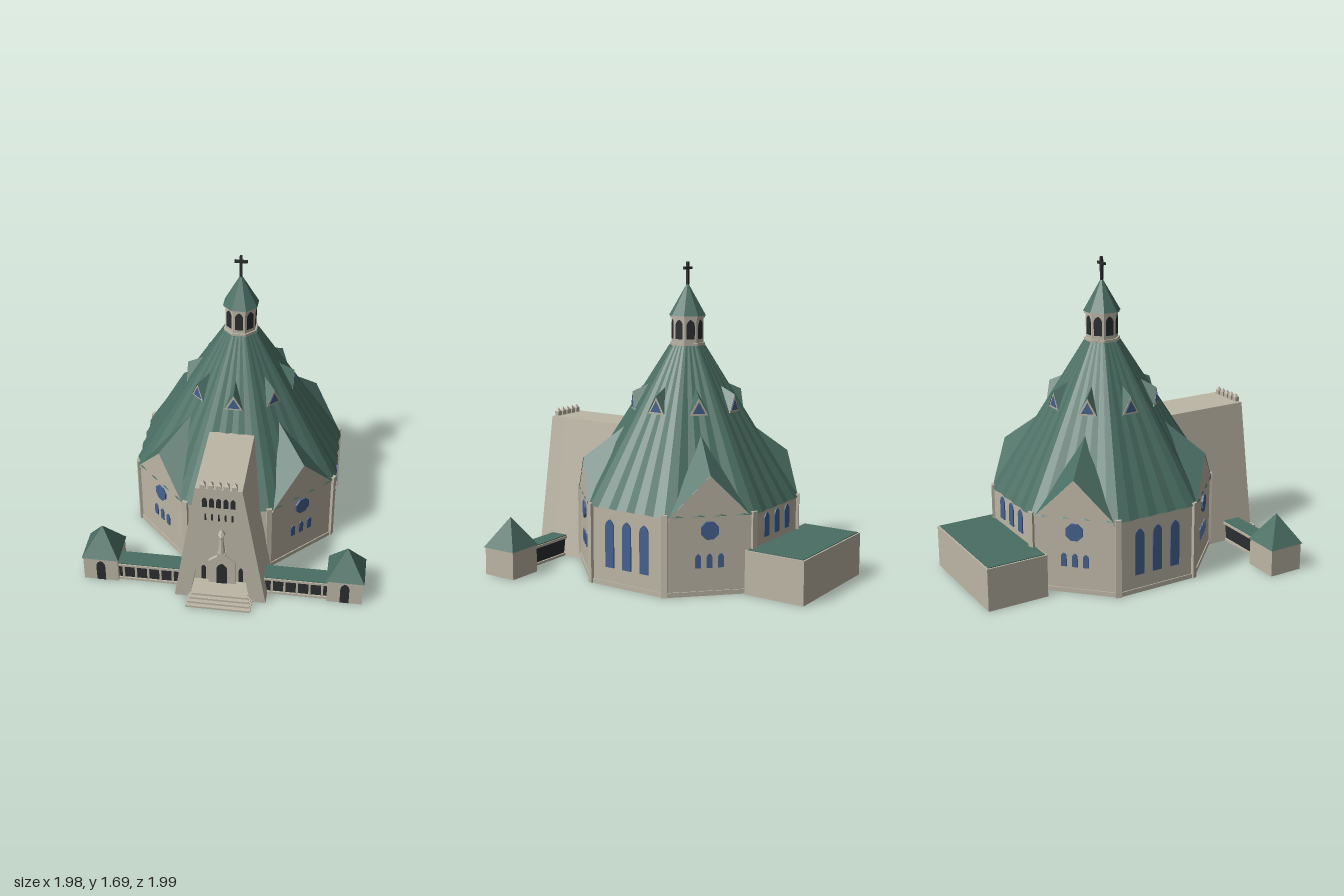
import * as THREE from 'three';

const mat = (color) => new THREE.MeshStandardMaterial({ color, flatShading: true, side: THREE.DoubleSide });
const stone = mat(0xbdb6a6), green = mat(0x4a6e63), glass = mat(0x46628f), dark = mat(0x2b2e31);

const APOTHEM = 0.568, EAVE = 0.42, ROOF_TOP = 1.24;
// distance of the roof's flat faces from the axis at height y
const roofApothem = (y) => (0.62 - ((y - EAVE) * 0.52) / (ROOF_TOP - EAVE)) * Math.cos(Math.PI / 8);

function add(parent, name, geometry, material, x = 0, y = 0, z = 0) {
  const mesh = new THREE.Mesh(geometry, material);
  mesh.name = name;
  mesh.position.set(x, y, z);
  parent.add(mesh);
  return mesh;
}
function group(parent, name, angle = 0) {
  const g = new THREE.Group();
  g.name = name;
  g.rotation.y = angle;
  parent.add(g);
  return g;
}
// box standing on y
const box = (parent, name, m, w, h, d, x, y, z) =>
  add(parent, name, new THREE.BoxGeometry(w, h, d), m, x, y + h / 2, z);
const extrude = (shape, depth) =>
  new THREE.ExtrudeGeometry(shape, { depth, bevelEnabled: false, curveSegments: 8 });
const polygon = (pts) => new THREE.Shape(pts.map(([x, y]) => new THREE.Vector2(x, y)));
const octagon = (top, bottom, h) => new THREE.CylinderGeometry(top, bottom, h, 8, 1, false, Math.PI / 8);

// pointed arch panel standing on y = 0
function arch(w, h, depth = 0.008) {
  const s = new THREE.Shape(), k = h - w * 0.8;
  s.moveTo(-w / 2, 0);
  s.lineTo(w / 2, 0);
  s.lineTo(w / 2, k);
  s.quadraticCurveTo(w / 2, h - w * 0.25, 0, h);
  s.quadraticCurveTo(-w / 2, h - w * 0.25, -w / 2, k);
  return extrude(s, depth);
}
function archRow(parent, name, m, count, spacing, w, h, y, z) {
  for (let i = 0; i < count; i++)
    add(parent, name, arch(w, h), m, (i - (count - 1) / 2) * spacing, y, z);
}

// two roof slopes running from a gable back to the main roof
function gableRoof(parent, name, half, y0, peak, z, yBack) {
  const zb = roofApothem(yBack);
  const g = new THREE.BufferGeometry();
  g.setAttribute('position', new THREE.Float32BufferAttribute([
    0, peak, z, half, y0, z, 0, yBack, zb,
    0, peak, z, 0, yBack, zb, -half, y0, z], 3));
  g.computeVertexNormals();
  add(parent, name, g, green);
}

function buildHall(root) {
  add(root, 'hallWalls', octagon(0.615, 0.615, EAVE), stone, 0, EAVE / 2, 0);
  add(root, 'plinth', octagon(0.621, 0.621, 0.025), stone, 0, 0.0125, 0);

  // pleated octagonal roof
  const N = 64, roof = new THREE.CylinderGeometry(0.1, 0.62, ROOF_TOP - EAVE, N, 1);
  const p = roof.attributes.position;
  for (let i = 0; i < p.count; i++) {
    const x = p.getX(i), z = p.getZ(i);
    if (Math.hypot(x, z) < 1e-6) continue;
    const step = Math.round((Math.atan2(x, z) / (2 * Math.PI)) * N);
    const off = ((step + 4 + N) % 8 - 4) * (2 * Math.PI / N);
    const f = (Math.cos(Math.PI / 8) / Math.cos(off)) * (step % 2 ? 1.016 : 1);
    p.setX(i, x * f);
    p.setZ(i, z * f);
  }
  roof.computeVertexNormals();
  add(root, 'mainRoof', roof, green, 0, (EAVE + ROOF_TOP) / 2, 0);

  for (let k = 0; k < 8; k++) {
    const a = (k * Math.PI) / 4;
    const corner = group(root, 'cornerPier', a + Math.PI / 8);
    box(corner, 'pier', stone, 0.03, 0.435, 0.025, 0, 0, 0.612);

    const side = group(root, 'hallSide', a);
    const z = APOTHEM - 0.002;
    if (k % 2) {
      // gabled side: rose window over three small windows
      add(side, 'gableWall', extrude(polygon([[-0.215, EAVE - 0.02], [0.215, EAVE - 0.02], [0.21, EAVE], [0, 0.63], [-0.21, EAVE]]), 0.01), stone, 0, 0, z);
      gableRoof(side, 'gableRoof', 0.212, EAVE, 0.632, z + 0.012, 0.8);
      const rose = add(side, 'roseWindow', new THREE.CylinderGeometry(0.05, 0.05, 0.016, 8, 1, false, Math.PI / 8), glass, 0, 0.345, z + 0.006);
      rose.rotation.x = Math.PI / 2;
      archRow(side, 'smallWindow', glass, 3, 0.06, 0.03, 0.075, 0.148, z);
    } else if (k === 4) {
      archRow(side, 'shortWindow', glass, 3, 0.11, 0.05, 0.13, 0.275, z);
    } else if (k !== 0) {
      archRow(side, 'tallWindow', glass, 3, 0.11, 0.055, 0.26, 0.103, z);
    }
    // triangular dormer
    const dz = 0.297;
    add(side, 'dormerFrame', extrude(polygon([[-0.05, 0.895], [0.05, 0.895], [0, 0.985]]), 0.006), stone, 0, 0, dz);
    add(side, 'dormerWindow', extrude(polygon([[-0.034, 0.905], [0.034, 0.905], [0, 0.967]]), 0.004), glass, 0, 0, dz + 0.004);
    gableRoof(side, 'dormerRoof', 0.054, 0.895, 0.99, dz + 0.007, 1.03);
  }
}

function buildLantern(root) {
  const g = group(root, 'lantern');
  add(g, 'lanternWalls', octagon(0.088, 0.088, 0.16), stone, 0, 1.32, 0);
  add(g, 'lanternSill', octagon(0.097, 0.097, 0.015), stone, 0, 1.247, 0);
  add(g, 'lanternCornice', octagon(0.096, 0.096, 0.012), stone, 0, 1.394, 0);
  for (let k = 0; k < 8; k++)
    add(group(g, 'lanternSide', (k * Math.PI) / 4), 'lanternOpening', arch(0.045, 0.105, 0.005), dark, 0, 1.275, 0.079);
  add(g, 'lanternRoof', octagon(0.002, 0.102, 0.175), green, 0, 1.4875, 0);
  box(g, 'crossPost', dark, 0.014, 0.125, 0.014, 0, 1.565, 0);
  box(g, 'crossArm', dark, 0.07, 0.014, 0.014, 0, 1.648, 0);
}

function buildEntrance(root) {
  const g = group(root, 'entranceTower');
  const profile = () => polygon([[-0.255, 0], [0.255, 0], [0.125, 0.78], [-0.125, 0.78]]);
  add(g, 'towerBody', extrude(profile(), 0.55), stone, 0, 0, 0.21);

  // front wall pierced by the tall pointed portal
  const front = profile(), hole = new THREE.Path();
  hole.moveTo(-0.16, 0.045);
  hole.quadraticCurveTo(-0.1, 0.45, 0, 0.53);
  hole.quadraticCurveTo(0.1, 0.45, 0.16, 0.045);
  hole.closePath();
  front.holes.push(hole);
  add(g, 'towerFront', extrude(front, 0.1), stone, 0, 0, 0.758);

  // inner doorway, side slots and statue
  add(g, 'doorSurround', extrude(polygon([[-0.075, 0.045], [0.075, 0.045], [0.075, 0.2], [0, 0.26], [-0.075, 0.2]]), 0.02), stone, 0, 0, 0.76);
  add(g, 'door', arch(0.06, 0.145, 0.005), dark, 0, 0.045, 0.778);
  for (const s of [-1, 1]) add(g, 'sideSlot', arch(0.025, 0.1, 0.005), dark, s * 0.105, 0.05, 0.758);
  box(g, 'statuePedestal', stone, 0.045, 0.03, 0.03, 0, 0.245, 0.778);
  add(g, 'statue', new THREE.CylinderGeometry(0.01, 0.02, 0.1, 8), stone, 0, 0.325, 0.778);
  add(g, 'statueHead', new THREE.SphereGeometry(0.013, 8, 6), stone, 0, 0.385, 0.778);
  add(g, 'statueCanopy', new THREE.ConeGeometry(0.022, 0.04, 6), stone, 0, 0.42, 0.772);

  // belfry openings, slits and pinnacles
  archRow(g, 'belfryOpening', dark, 5, 0.038, 0.026, 0.062, 0.66, 0.853);
  archRow(g, 'slit', dark, 5, 0.036, 0.009, 0.045, 0.57, 0.853);
  for (let i = -2; i <= 2; i++) {
    box(g, 'pinnacle', stone, 0.03, 0.025, 0.025, i * 0.042, 0.78, 0.846);
    add(g, 'pinnacleTip', new THREE.ConeGeometry(0.019, 0.022, 4, 1, false, Math.PI / 4), stone, i * 0.042, 0.816, 0.846);
  }
  for (let i = 0; i < 4; i++) {
    const d = 0.09 - i * 0.021;
    box(g, 'step', stone, 0.36 - i * 0.016, 0.012 * (i + 1), d, 0, 0, 0.856 + d / 2);
  }
}

function buildWing(root, s) {
  const g = group(root, s > 0 ? 'leftWing' : 'rightWing');
  // covered walk
  box(g, 'walkFloor', stone, 0.4, 0.014, 0.11, s * 0.41, 0, 0.725);
  box(g, 'walkInterior', dark, 0.39, 0.09, 0.09, s * 0.41, 0.012, 0.725);
  box(g, 'walkBeam', stone, 0.4, 0.014, 0.112, s * 0.41, 0.098, 0.725);
  box(g, 'walkRoof', green, 0.4, 0.006, 0.1, s * 0.41, 0.111, 0.725);
  for (let i = 0; i < 5; i++) box(g, 'walkPost', stone, 0.012, 0.09, 0.012, s * (0.28 + i * 0.07), 0.012, 0.771);
  // end pavilion
  box(g, 'pavilionWalls', stone, 0.196, 0.155, 0.196, s * 0.685, 0, 0.698);
  add(g, 'pavilionRoof', new THREE.ConeGeometry(0.148, 0.163, 4, 1, false, Math.PI / 4), green, s * 0.685, 0.234, 0.698);
  add(g, 'pavilionDoor', arch(0.05, 0.135, 0.006), dark, s * 0.685, 0.002, 0.793);
}

function buildAnnex(root) {
  const g = group(root, 'rearAnnex');
  box(g, 'annexWalls', stone, 0.655, 0.235, 0.34, -0.04, 0, -0.715);
  box(g, 'annexRoof', green, 0.637, 0.006, 0.322, -0.04, 0.233, -0.715);
}

export function createModel() {
  const model = new THREE.Group();
  model.name = 'church';
  // the entrance axis runs diagonally
  const root = group(model, 'building', -0.841);
  root.position.set(0.13, 0, -0.13);
  buildHall(root);
  buildLantern(root);
  buildEntrance(root);
  for (const s of [-1, 1]) buildWing(root, s);
  buildAnnex(root);
  return model;
}
